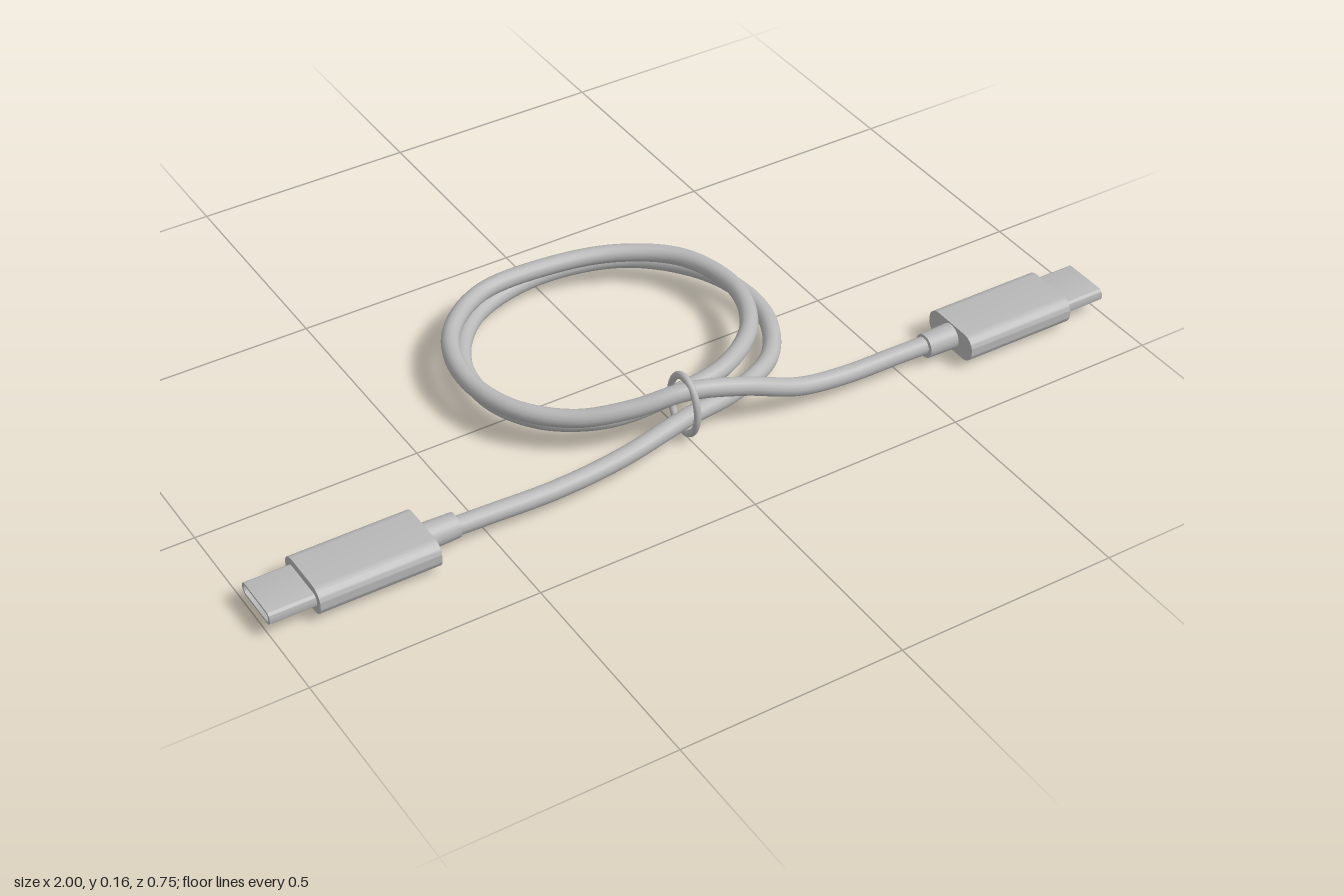
import * as THREE from 'three';
import { toCreasedNormals } from 'three/addons/utils/BufferGeometryUtils.js';

const grey = new THREE.MeshStandardMaterial({ color: 0xb8b8b8 });
grey.name = 'cable grey';

function part(name, geometry, parent) {
  const mesh = new THREE.Mesh(geometry, grey);
  mesh.name = name;
  parent.add(mesh);
  return mesh;
}

// Rounded rectangle outline, centred on the origin
function roundedRect(Type, w, h, r) {
  const s = new Type(), x = w / 2 - r, y = h / 2 - r;
  s.absarc(x, y, r, 0, Math.PI / 2);
  s.absarc(-x, y, r, Math.PI / 2, Math.PI);
  s.absarc(-x, -y, r, Math.PI, Math.PI * 1.5);
  s.absarc(x, -y, r, Math.PI * 1.5, Math.PI * 2);
  s.closePath();
  return s;
}

// Extrude an outline along +x from x0 to x1
function extrudeX(shape, x0, x1) {
  const g = new THREE.ExtrudeGeometry(shape, { depth: x1 - x0, bevelEnabled: false, curveSegments: 8 });
  g.rotateY(Math.PI / 2).translate(x0, 0, 0);
  return toCreasedNormals(g, 0.7);
}

// Connector pointing to +x: housing, hollow plug, tongue and strain relief
function connector(name) {
  const group = new THREE.Group();
  group.name = name;
  part('housing', extrudeX(roundedRect(THREE.Shape, 0.15, 0.064, 0.03), 0.635, 0.9), group);

  const shell = roundedRect(THREE.Shape, 0.12, 0.03, 0.0145);
  shell.holes.push(roundedRect(THREE.Path, 0.106, 0.02, 0.0095));
  part('plugShell', extrudeX(shell, 0.9, 1), group);
  part('plugTongue', new THREE.BoxGeometry(0.085, 0.008, 0.09), group).position.x = 0.9425;

  const relief = new THREE.CylinderGeometry(0.029, 0.027, 0.075, 24);
  relief.rotateZ(-Math.PI / 2);
  part('strainRelief', relief, group).position.x = 0.6025;
  return group;
}

export function createModel() {
  const model = new THREE.Group();
  model.name = 'coiledCable';

  // Cable centre line: left tail, two turns of coil, right tail over the top
  const path = [
    [-0.62, 0.042, 0.283], [-0.5, 0.042, 0.288], [-0.34, 0.042, 0.293], [-0.18, 0.045, 0.281],
    [0, 0.055, 0.25], [0.14, 0.045, 0.218], [0.27, 0.04, 0.15],
    [0.345, 0.04, 0.01], [0.325, 0.04, -0.16], [0.2, 0.04, -0.305], [0, 0.04, -0.354],
    [-0.19, 0.04, -0.3], [-0.295, 0.04, -0.17], [-0.31, 0.04, -0.03], [-0.25, 0.042, 0.09],
    [-0.14, 0.055, 0.17], [0, 0.08, 0.198], [0.13, 0.084, 0.18], [0.255, 0.082, 0.09],
    [0.312, 0.08, -0.05], [0.275, 0.08, -0.2], [0.16, 0.08, -0.29], [0, 0.08, -0.328],
    [-0.17, 0.08, -0.318], [-0.295, 0.08, -0.22], [-0.34, 0.08, -0.08], [-0.31, 0.08, 0.06],
    [-0.22, 0.082, 0.16], [-0.12, 0.1, 0.215], [0, 0.122, 0.25], [0.12, 0.1, 0.272],
    [0.25, 0.055, 0.286], [0.36, 0.042, 0.291], [0.5, 0.042, 0.294], [0.62, 0.042, 0.297],
  ].map(p => new THREE.Vector3(...p));
  const curve = new THREE.CatmullRomCurve3(path, false, 'centripetal');
  part('cable', new THREE.TubeGeometry(curve, 320, 0.02, 16), model);

  // Tie ring around the crossing strands
  const ring = new THREE.TorusGeometry(0.06, 0.008, 12, 40);
  ring.rotateY(Math.PI / 2).scale(1, 1.14, 0.85);
  part('tieRing', ring, model).position.set(0, 0.0775, 0.234);

  // Connectors at both ends
  const left = connector('leftConnector');
  left.position.set(0, 0.042, 0.298);
  const right = connector('rightConnector');
  right.position.set(0, 0.042, 0.281);
  right.rotation.y = Math.PI;
  model.add(left, right);
  return model;
}
